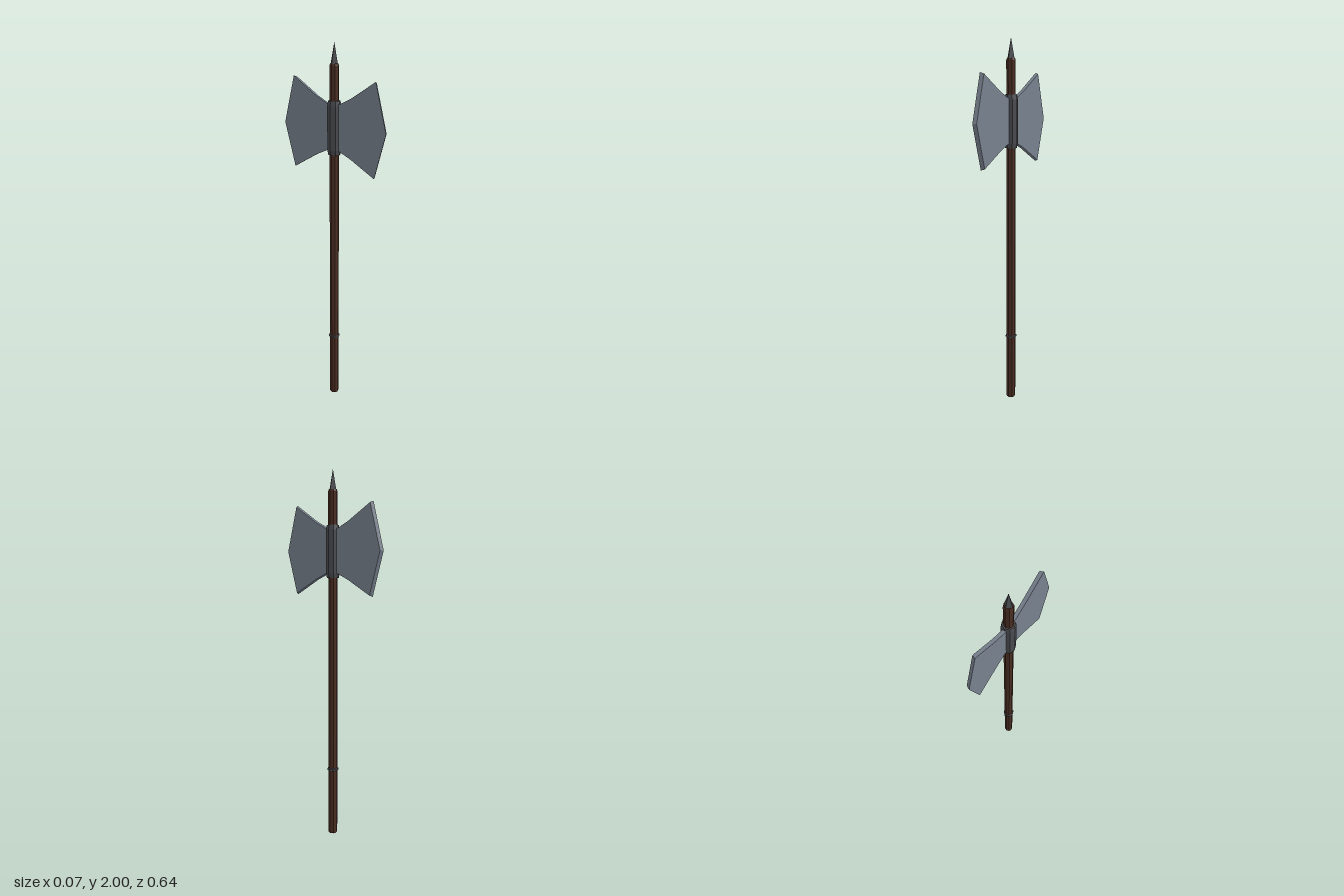
import * as THREE from 'three';

const material = (name, color) => {
  const m = new THREE.MeshStandardMaterial({ color, flatShading: true });
  m.name = name;
  return m;
};

export function createModel() {
  const group = new THREE.Group();
  const wood = material('dark wood', 0x4c2f23);
  const iron = material('dark iron', 0x4b4c50);
  const steel = material('blade steel', 0x78818e);

  const add = (name, geometry, mat) => {
    const mesh = new THREE.Mesh(geometry, mat);
    mesh.name = name;
    group.add(mesh);
  };

  // Turned part from [radius, y] pairs, closed at both ends
  const turned = (points, sides) =>
    new THREE.LatheGeometry(points.map(([r, y]) => new THREE.Vector2(r, y)), sides);

  add('shaft', turned([[0, 0], [0.022, 0], [0.025, 0.006], [0.025, 1.885], [0.021, 1.895], [0, 1.895]], 8), wood);
  add('gripRing', turned([[0.024, 0.362], [0.031, 0.366], [0.031, 0.374], [0.024, 0.378]], 8), iron);
  add('collar', turned([[0.024, 1.43], [0.032, 1.43], [0.037, 1.455], [0.037, 1.685], [0.032, 1.71], [0.024, 1.71]], 8), iron);
  add('topSpike', turned([[0, 1.89], [0.023, 1.89], [0, 2]], 4), iron);

  // Blade outline as [distance from the shaft, y]
  const outline = [[0.02, 1.45], [0.04, 1.45], [0.11, 1.418], [0.254, 1.336], [0.319, 1.572],
    [0.254, 1.822], [0.11, 1.73], [0.04, 1.695], [0.02, 1.695]];
  const shape = new THREE.Shape(outline.map(([d, y]) => new THREE.Vector2(d, y)));

  for (const side of [1, -1]) {
    const blade = new THREE.ExtrudeGeometry(shape, { depth: 0.02, bevelEnabled: false });
    blade.translate(0, 0, -0.01);
    blade.rotateY(-side * Math.PI / 2);
    // The +x face is slightly smaller, which slants the cutting edge
    const p = blade.attributes.position;
    for (let i = 0; i < p.count; i++) {
      if (p.getX(i) > 0) {
        p.setY(i, 1.572 + (p.getY(i) - 1.572) * 0.972);
        p.setZ(i, p.getZ(i) * 0.972);
      }
    }
    blade.computeVertexNormals();
    add(side > 0 ? 'frontBlade' : 'backBlade', blade, steel);
  }
  return group;
}
